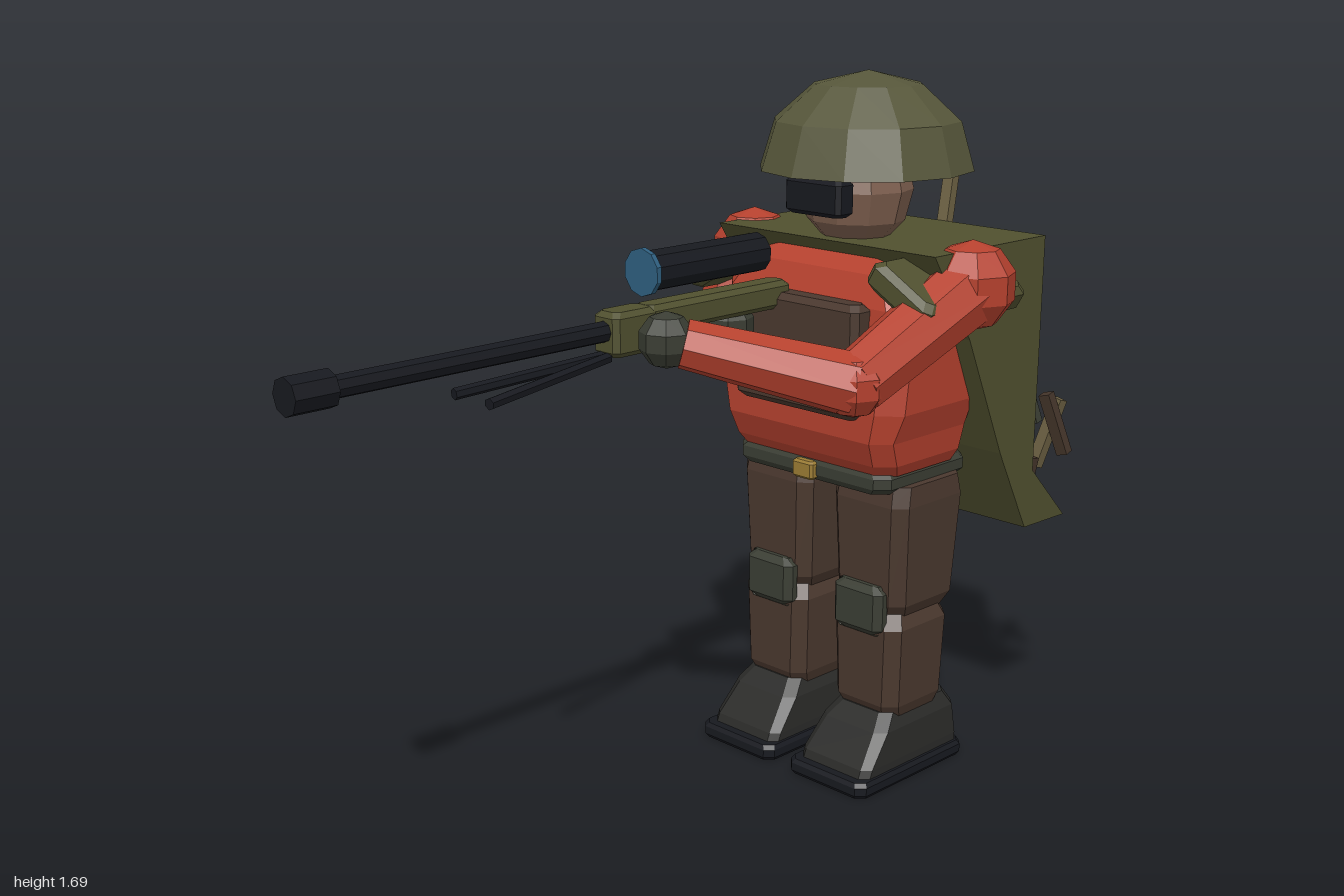
import * as THREE from 'three';

const mat = (color) => new THREE.MeshStandardMaterial({ color, flatShading: true, side: THREE.DoubleSide });
const M = {
  red: mat(0xb5412e), olive: mat(0x50502f), helmet: mat(0x56563a), trousers: mat(0x4a382e),
  boot: mat(0x2a2a28), black: mat(0x17191f), dark: mat(0x3a3d33), skin: mat(0x7d5f4e),
  lens: mat(0x2f5f7f), gold: mat(0x9a7b34), bark: mat(0x44352a), straw: mat(0x6b5f42),
};

// Stacked chamfered rectangles: each ring is [y, halfWidth, zBack, zFront, chamfer]
function loft(rings, cx = 0) {
  const pos = [], idx = [];
  for (const [y, w, z0, z1, c] of rings) {
    for (const [x, z] of [[w, z0 + c], [w, z1 - c], [w - c, z1], [c - w, z1], [-w, z1 - c], [-w, z0 + c], [c - w, z0], [w - c, z0]])
      pos.push(cx + x, y, z);
  }
  const n = rings.length;
  for (let r = 0; r < n - 1; r++) for (let i = 0; i < 8; i++) {
    const a = r * 8 + i, b = r * 8 + (i + 1) % 8;
    idx.push(a, a + 8, b, a + 8, b + 8, b);
  }
  const t = (n - 1) * 8;
  for (let i = 1; i < 7; i++) idx.push(0, i, i + 1, t, t + i + 1, t + i);
  const g = new THREE.BufferGeometry();
  g.setAttribute('position', new THREE.Float32BufferAttribute(pos, 3));
  g.setIndex(idx);
  const flat = g.toNonIndexed();
  flat.computeVertexNormals();
  return flat;
}

// Bevelled block centred on the origin
function block(w, h, d, b = 0.015) {
  const x = w / 2, y = h / 2, z = d / 2;
  return loft([[-y, x - b, b - z, z - b, b], [b - y, x, -z, z, b], [y - b, x, -z, z, b], [y, x - b, b - z, z - b, b]]);
}

export function createModel() {
  const root = new THREE.Group();
  const add = (name, geo, m, p = [0, 0, 0], r = [0, 0, 0], parent = root) => {
    const mesh = new THREE.Mesh(geo, m);
    mesh.name = name;
    mesh.position.set(...p);
    mesh.rotation.set(...r);
    parent.add(mesh);
    return mesh;
  };
  // Tapered cylinder from a to b
  const limb = (name, a, b, ra, rb, m, sides = 8, parent = root) => {
    const A = new THREE.Vector3(...a), B = new THREE.Vector3(...b), d = B.clone().sub(A);
    const mesh = add(name, new THREE.CylinderGeometry(rb, ra, d.length(), sides), m, A.clone().add(B).multiplyScalar(0.5).toArray(), [0, 0, 0], parent);
    mesh.quaternion.setFromUnitVectors(new THREE.Vector3(0, 1, 0), d.normalize());
    return mesh;
  };
  const ball = (name, r, m, p, parent = root) => add(name, new THREE.SphereGeometry(r, 8, 5), m, p, [0, 0, 0], parent);

  // Legs
  for (const s of [-1, 1]) {
    const leg = new THREE.Group();
    leg.name = s > 0 ? 'leftLeg' : 'rightLeg';
    root.add(leg);
    const x = s * 0.15, part = (n, rings, m) => add(n, loft(rings, x), m, [0, 0, 0], [0, 0, 0], leg);
    part('sole', [[0, 0.115, -0.69, -0.3, 0.02], [0.01, 0.122, -0.695, -0.293, 0.02], [0.03, 0.122, -0.695, -0.293, 0.02], [0.04, 0.115, -0.69, -0.3, 0.02]], M.black);
    part('boot', [[0.035, 0.108, -0.69, -0.32, 0.02], [0.06, 0.108, -0.69, -0.33, 0.02], [0.135, 0.1, -0.69, -0.39, 0.025], [0.172, 0.082, -0.67, -0.43, 0.025]], M.boot);
    part('shin', [[0.16, 0.088, -0.63, -0.44, 0.03], [0.19, 0.098, -0.64, -0.425, 0.03], [0.39, 0.104, -0.645, -0.42, 0.03], [0.43, 0.085, -0.63, -0.44, 0.03]], M.trousers);
    part('thigh', [[0.41, 0.085, -0.64, -0.45, 0.03], [0.45, 0.105, -0.66, -0.43, 0.03], [0.7, 0.114, -0.675, -0.42, 0.03], [0.75, 0.11, -0.665, -0.43, 0.03]], M.trousers);
    add('kneePad', block(0.15, 0.125, 0.05, 0.017), M.dark, [x - s * 0.005, 0.435, -0.425], [0, 0, 0], leg);
  }

  // Torso, belt and vest
  add('belt', loft([[0.735, 0.225, -0.7, -0.39, 0.03], [0.75, 0.24, -0.71, -0.38, 0.03], [0.775, 0.24, -0.71, -0.38, 0.03], [0.79, 0.225, -0.7, -0.39, 0.03]]), M.dark);
  add('buckle', block(0.065, 0.045, 0.03, 0.006), M.gold, [0, 0.76, -0.378]);
  add('torso', loft([
    [0.78, 0.24, -0.67, -0.39, 0.04], [0.81, 0.255, -0.68, -0.37, 0.04], [0.87, 0.262, -0.69, -0.345, 0.04],
    [0.94, 0.285, -0.7, -0.345, 0.05], [1.18, 0.29, -0.7, -0.37, 0.05], [1.25, 0.25, -0.68, -0.4, 0.05], [1.29, 0.19, -0.64, -0.45, 0.05]]), M.red);
  add('chestPlate', block(0.38, 0.27, 0.07, 0.015), M.trousers, [0.005, 1.055, -0.353]);

  // Head
  const head = add('head', new THREE.SphereGeometry(0.137, 10, 6), M.skin, [0, 1.42, -0.54]);
  head.scale.set(1, 1.08, 0.96);
  add('goggles', block(0.17, 0.085, 0.06, 0.01), M.black, [0.003, 1.412, -0.405]);
  const helmet = add('helmet', new THREE.SphereGeometry(0.262, 12, 3, 0, Math.PI * 2, 0, Math.PI / 2), M.helmet, [0, 1.462, -0.573]);
  helmet.scale.set(0.97, 0.87, 1);

  // Camouflage cape: side profile in (-z, y), extruded across the back
  const profile = [[0.42, 1.31], [0.56, 1.1], [0.7, 0.8], [0.815, 0.588], [0.98, 0.585], [0.837, 0.73], [0.837, 1.31]];
  const cape = new THREE.ExtrudeGeometry(new THREE.Shape(profile.map((p) => new THREE.Vector2(...p))), { depth: 0.67, bevelEnabled: false });
  cape.rotateY(Math.PI / 2).translate(-0.335, 0, 0);
  add('cape', cape, M.olive);

  // Scraps of cloth and twig on the cape: [x, y, z, length, lean sideways, lean back]
  const scraps = [
    [-0.33, 0.86, -0.89, 0.2, 0.2, 0.25], [-0.27, 0.98, -0.88, 0.18, -0.25, -0.1], [-0.24, 0.8, -0.93, 0.17, 0.1, -0.3],
    [-0.19, 0.9, -0.9, 0.22, 0.3, 0.15], [-0.13, 0.78, -0.93, 0.15, -0.3, -0.2], [-0.1, 1.02, -0.87, 0.2, 0.15, 0.1],
    [-0.05, 0.88, -0.91, 0.2, -0.15, 0.2], [0.0, 0.8, -0.93, 0.16, 0.35, -0.25], [0.05, 0.96, -0.88, 0.2, -0.3, 0.1],
    [0.1, 0.84, -0.92, 0.17, 0.2, -0.1], [0.15, 0.92, -0.89, 0.2, -0.2, 0.2], [0.2, 0.8, -0.94, 0.16, 0.1, -0.15],
    [0.25, 0.93, -0.9, 0.22, 0.25, 0.15], [0.3, 0.8, -0.94, 0.18, -0.2, -0.25], [0.33, 0.83, -0.93, 0.16, 0.25, 0.2],
    [-0.2, 1.12, -0.87, 0.23, 0.05, 0.12], [-0.29, 1.14, -0.88, 0.2, -0.15, 0.1], [0.22, 1.08, -0.87, 0.2, 0.2, 0.12],
    [0.02, 1.35, -0.865, 0.18, 0.1, -0.3], [-0.31, 1.27, -0.955, 0.16, 0.08, -0.08], [-0.33, 0.65, -0.81, 0.18, 0.1, -0.1],
    [0.31, 0.68, -0.84, 0.16, -0.1, -0.15]];
  const scrapMats = [M.olive, M.bark, M.dark, M.straw, M.bark];
  scraps.forEach(([x, y, z, l, tilt, lean], i) =>
    add('capeScrap', new THREE.BoxGeometry(0.03, l, 0.026), scrapMats[i % 5], [x, y, z], [lean, 0.4 * tilt, tilt]));

  // Arms and shoulder pads
  const arms = [
    ['leftArm', [0.34, 1.23, -0.55], [0.305, 1.055, -0.19], [0.04, 1.145, 0.07], [0.012, 1.153, 0.095]],
    ['rightArm', [-0.34, 1.23, -0.55], [-0.37, 1.05, -0.46], [-0.14, 1.115, -0.25], [-0.11, 1.12, -0.22]]];
  for (const [name, shoulder, elbow, wrist, hand] of arms) {
    const arm = new THREE.Group();
    arm.name = name;
    root.add(arm);
    ball('shoulder', 0.105, M.red, shoulder, arm);
    limb('upperArm', shoulder, elbow, 0.088, 0.072, M.red, 8, arm);
    ball('elbow', 0.074, M.red, elbow, arm);
    limb('forearm', elbow, wrist, 0.073, 0.056, M.red, 8, arm);
    ball('glove', 0.064, M.dark, hand, arm);
    const s = Math.sign(shoulder[0]);
    add('shoulderPad', block(0.19, 0.07, 0.37, 0.015), M.olive, [s * 0.29, 1.225, -0.525], [0, 0, -s * 0.52], arm);
  }

  // Rifle, aimed along +z
  const rifle = new THREE.Group();
  rifle.name = 'rifle';
  root.add(rifle);
  const X = -0.08;
  const rod = (name, z0, z1, y, r, m, sides = 8) => limb(name, [X, y, z0], [X, y, z1], r, r, m, sides, rifle);
  add('stock', block(0.07, 0.065, 0.46, 0.012), M.olive, [X, 1.183, -0.14], [0, 0, 0], rifle);
  add('foreGrip', block(0.08, 0.1, 0.13, 0.012), M.olive, [X, 1.165, 0.13], [0, 0, 0], rifle);
  rod('barrel', 0.1, 0.92, 1.172, 0.024, M.black);
  rod('muzzle', 0.9, 1.0, 1.172, 0.04, M.black);
  rod('scope', -0.285, 0.075, 1.287, 0.046, M.black, 10);
  rod('scopeLens', 0.07, 0.083, 1.287, 0.054, M.lens, 10);
  for (const s of [-1, 1]) limb('bipodLeg', [X + s * 0.008, 1.115, 0.19], [X + s * 0.058, 1.088, 0.56], 0.013, 0.013, M.black, 6, rifle);

  return root;
}
